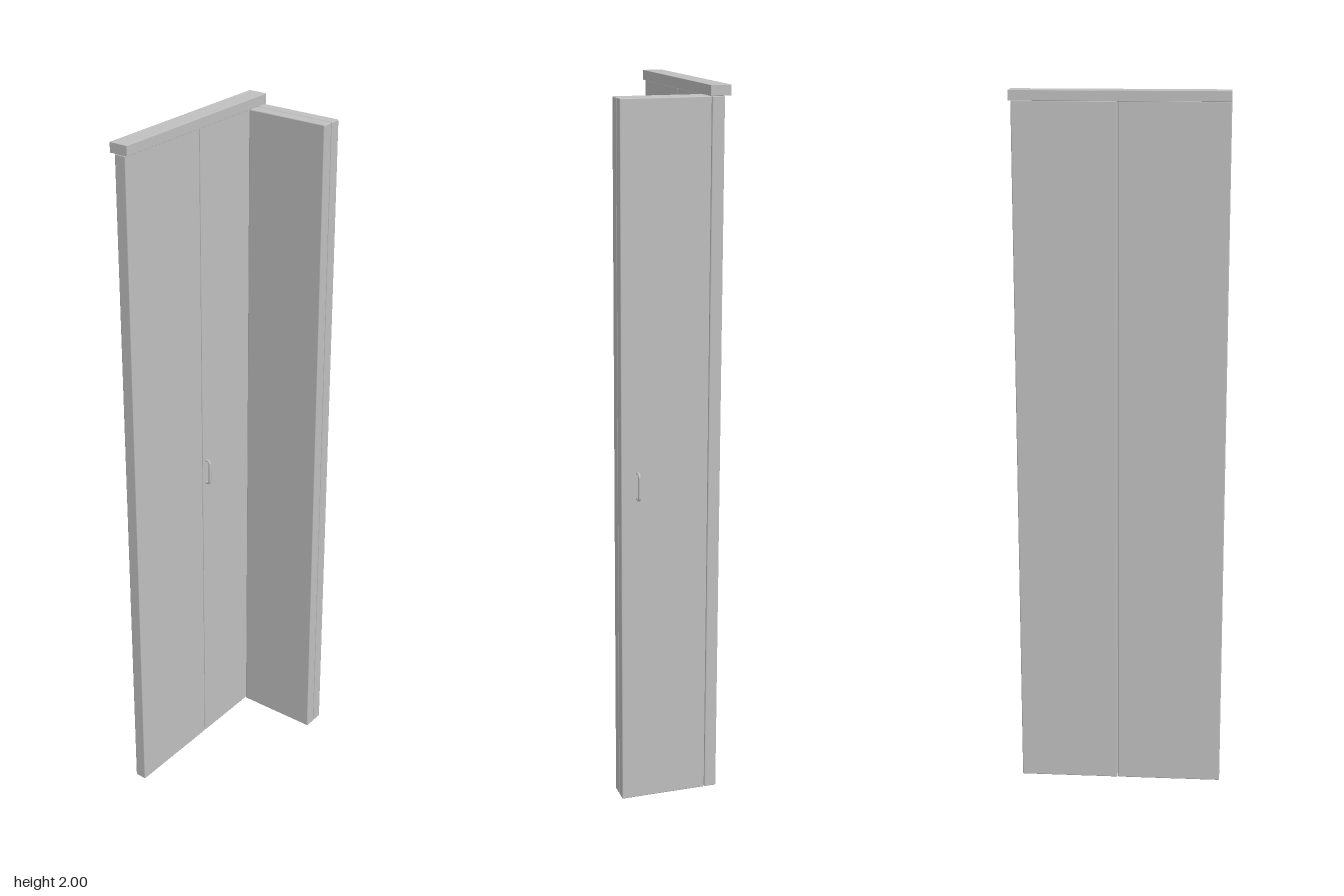
import * as THREE from 'three';
import { RoundedBoxGeometry } from 'three/addons/geometries/RoundedBoxGeometry.js';

export function createModel() {
  const model = new THREE.Group();
  model.name = 'foldingDoor';
  const grey = new THREE.MeshStandardMaterial({ color: 0xc0c0c0 });
  grey.name = 'plain grey';

  // Box given by its limits, with slightly eased edges
  function slab(name, x0, x1, y0, y1, z0, z1, bevel) {
    const mesh = new THREE.Mesh(
      new RoundedBoxGeometry(x1 - x0, y1 - y0, z1 - z0, 2, bevel), grey);
    mesh.position.set((x0 + x1) / 2, (y0 + y1) / 2, (z0 + z1) / 2);
    mesh.name = name;
    model.add(mesh);
  }

  // Two closed leaves along the back
  slab('closedPanelRight', -0.304, -0.004, 0, 1.972, -0.135, -0.1, 0.003);
  slab('closedPanelLeft', -0.002, 0.28, 0, 1.972, -0.135, -0.1, 0.003);

  // Two leaves folded against each other, standing out to the front
  slab('foldedPanelInner', 0.212, 0.2455, 0, 1.972, -0.099, 0.148, 0.003);
  slab('foldedPanelOuter', 0.2475, 0.28, 0, 1.972, -0.099, 0.148, 0.003);

  // Overhead track
  slab('topTrack', -0.304, 0.285, 1.972, 2, -0.15, -0.094, 0.001);

  // Bow handle: a bent rod reaching out along its own +z
  function handle(name, reach) {
    const h = 0.036, r = 0.009, d = reach - 0.004;
    const v = (y, z) => new THREE.Vector3(0, y, z);
    const path = new THREE.CurvePath();
    path.add(new THREE.LineCurve3(v(-h, -0.003), v(-h, d - r)));
    path.add(new THREE.QuadraticBezierCurve3(v(-h, d - r), v(-h, d), v(-h + r, d)));
    path.add(new THREE.LineCurve3(v(-h + r, d), v(h - r, d)));
    path.add(new THREE.QuadraticBezierCurve3(v(h - r, d), v(h, d), v(h, d - r)));
    path.add(new THREE.LineCurve3(v(h, d - r), v(h, -0.003)));
    const mesh = new THREE.Mesh(new THREE.TubeGeometry(path, 48, 0.004, 10), grey);
    mesh.name = name;
    model.add(mesh);
    return mesh;
  }
  handle('frontHandle', 0.018).position.set(0.012, 0.94, -0.1);
  const side = handle('sideHandle', 0.023);
  side.position.set(0.28, 0.94, 0.102);
  side.rotation.y = Math.PI / 2;

  return model;
}
